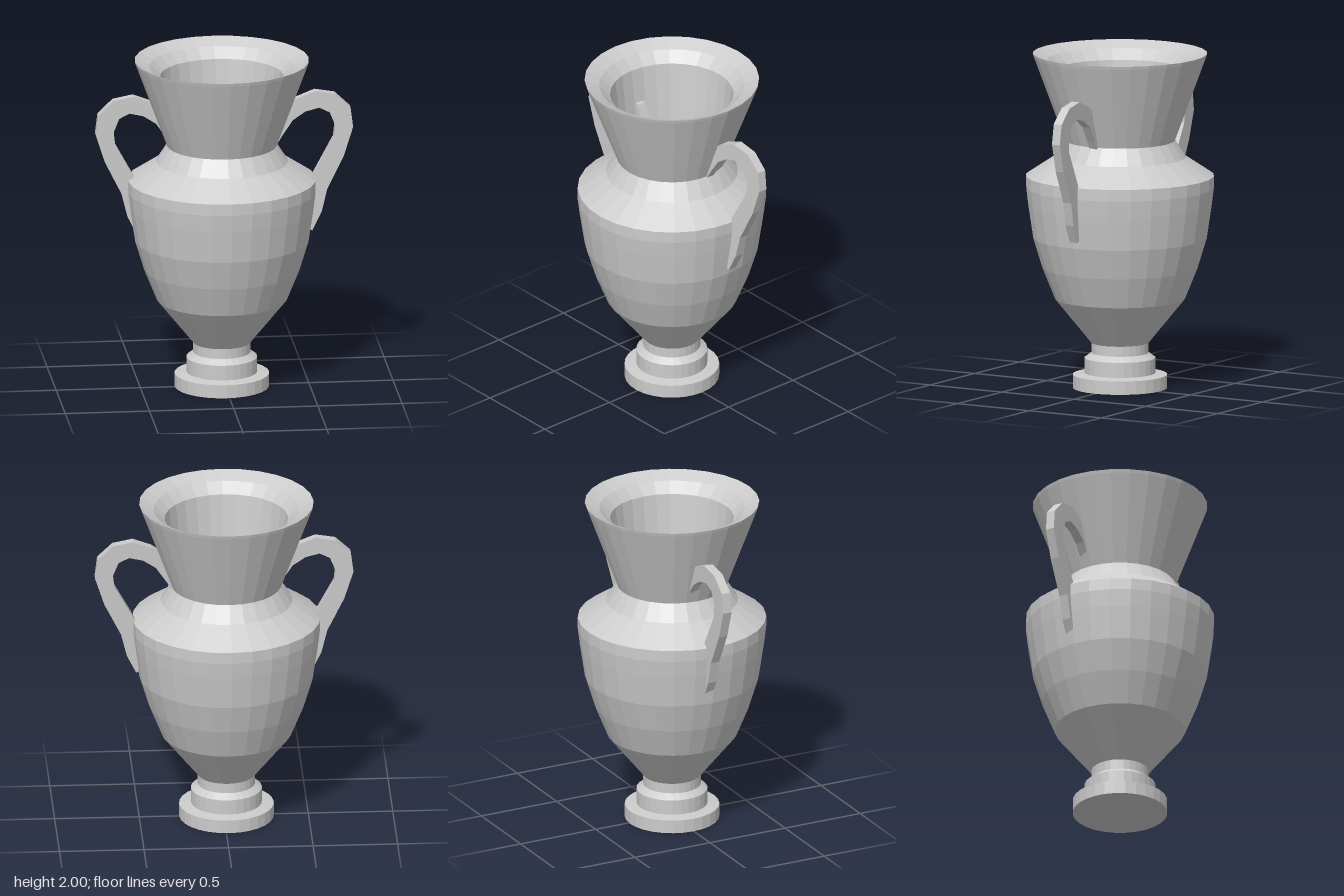
import * as THREE from 'three';

export function createModel() {
  const model = new THREE.Group();
  const material = new THREE.MeshStandardMaterial({ color: 0xcccccc, flatShading: true });

  // Turned body: [radius, height] up the outside, over the lip and down the inside
  const profile = [
    [0, 0], [0.28, 0], [0.28, 0.08], [0.21, 0.09], [0.21, 0.18], [0.17, 0.21], [0.17, 0.27],
    [0.385, 0.535], [0.46, 0.72], [0.515, 0.9], [0.545, 1.1], [0.557, 1.2], [0.557, 1.27],
    [0.39, 1.38], [0.325, 1.48], [0.51, 1.98], [0.516, 2],
    [0.43, 1.96], [0.365, 1.9], [0.2, 0.45], [0, 0.45],
  ].map(([r, y]) => new THREE.Vector2(r, y));
  const body = new THREE.Mesh(new THREE.LatheGeometry(profile, 28), material);
  body.name = 'vaseBody';
  body.position.x = -0.016;
  model.add(body);

  // Handle outline: outer edge from neck to body, then the inner edge back up
  const outline = [
    [0.29, 1.58], [0.34, 1.68], [0.43, 1.745], [0.54, 1.787], [0.66, 1.765], [0.75, 1.68],
    [0.765, 1.56], [0.71, 1.39], [0.61, 1.19], [0.575, 1.05], [0.52, 0.94],
    [0.5, 0.95], [0.515, 1.1], [0.51, 1.24], [0.545, 1.31], [0.65, 1.5], [0.658, 1.575],
    [0.625, 1.655], [0.563, 1.685], [0.48, 1.665], [0.405, 1.615], [0.34, 1.52], [0.31, 1.47],
  ];

  // Flat strap handle, leaning slightly in z
  function addHandle(name, side, lean) {
    const shape = new THREE.Shape(outline.map(([x, y]) => new THREE.Vector2(side * x, y)));
    const geometry = new THREE.ExtrudeGeometry(shape, { depth: 0.055, bevelEnabled: false });
    const p = geometry.attributes.position;
    for (let i = 0; i < p.count; i++) {
      const shift = -0.04 * (p.getX(i) - side * 0.54) + lean * (p.getY(i) - 1.55);
      p.setZ(i, p.getZ(i) - 0.0575 + shift);
    }
    geometry.computeVertexNormals();
    const handle = new THREE.Mesh(geometry, material);
    handle.name = name;
    model.add(handle);
  }
  addHandle('leftHandle', 1, -0.031);
  addHandle('rightHandle', -1, -0.01);

  return model;
}
